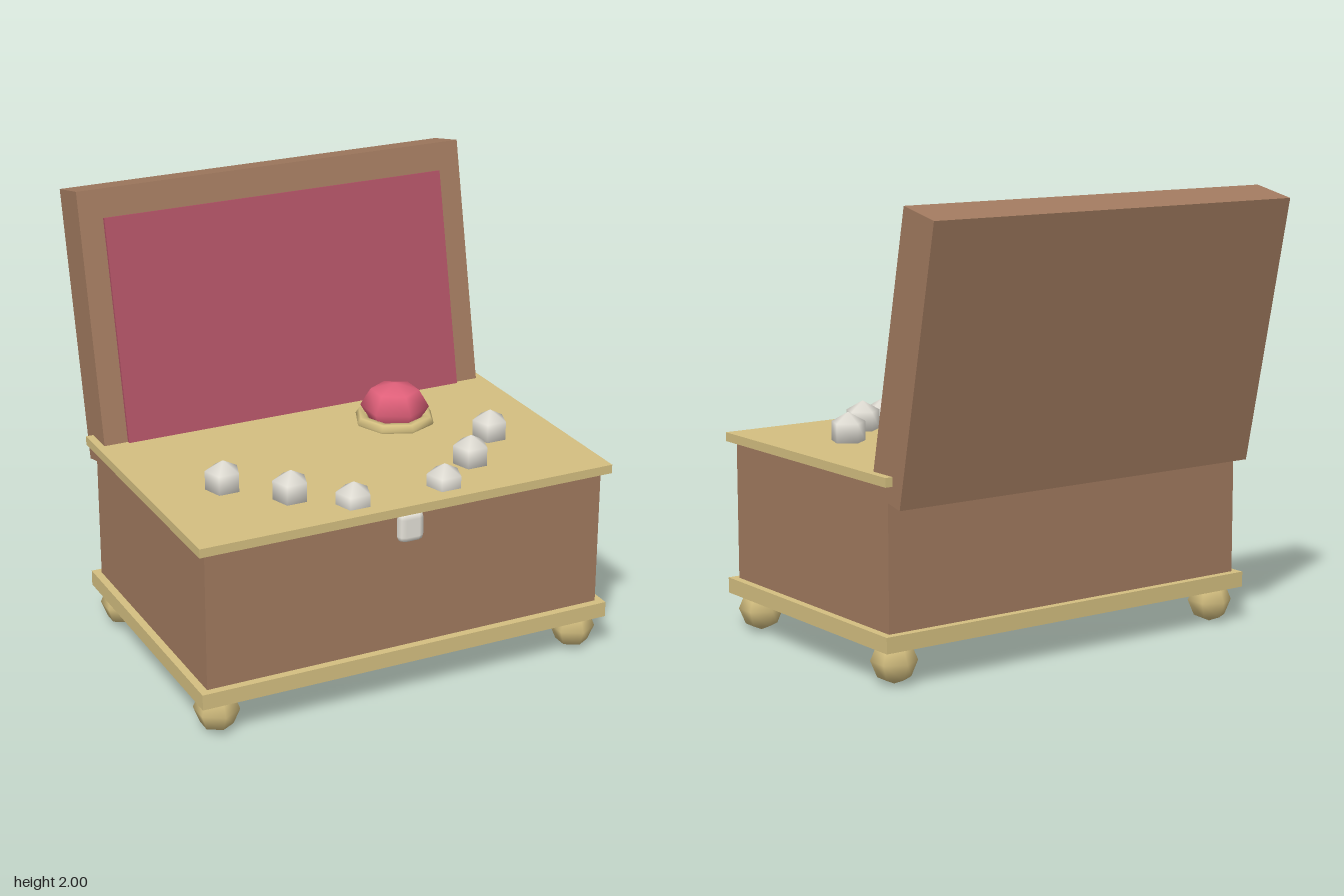
import * as THREE from 'three';
import { RoundedBoxGeometry } from 'three/addons/geometries/RoundedBoxGeometry.js';

const paint = (color) => new THREE.MeshStandardMaterial({ color });

export function createModel() {
  const chest = new THREE.Group();
  chest.name = 'jewelBox';
  const wood = paint(0xa17a5f), gold = paint(0xd4bf80), velvet = paint(0xb05265);
  const ruby = paint(0xe0607a), pearlWhite = paint(0xe4e1d8);

  const add = (name, geometry, material, x, y, z, parent = chest) => {
    const mesh = new THREE.Mesh(geometry, material);
    mesh.name = name;
    mesh.position.set(x, y, z);
    parent.add(mesh);
    return mesh;
  };
  const box = (w, h, d) => new THREE.BoxGeometry(w, h, d);
  // Coarse ball with one corner pointing to the back
  const ball = (r, sides, rings) => new THREE.SphereGeometry(r, sides, rings).rotateY(-Math.PI / 2);

  // Case with base and top plates
  const midZ = 0.155;
  add('body', box(1.87, 0.68, 1.22), wood, 0, 0.53, midZ);
  add('basePlate', box(1.94, 0.07, 1.29), gold, 0, 0.2, midZ);
  add('topPlate', box(1.94, 0.04, 1.29), gold, 0, 0.88, midZ);

  // Ball feet
  const footGeometry = ball(0.1, 6, 4);
  for (const x of [-0.865, 0.865])
    for (const z of [-0.385, 0.695]) add('foot', footGeometry, gold, x, 0.1, z);

  // Front clasp
  add('clasp', new RoundedBoxGeometry(0.12, 0.14, 0.08, 1, 0.03), pearlWhite, 0, 0.795, 0.76);

  // Open lid leaning back, with a padded lining
  const lid = new THREE.Group();
  lid.name = 'lid';
  lid.position.set(0, 1.385, -0.5625);
  lid.rotation.x = -0.211;
  chest.add(lid);
  add('lidPanel', box(1.87, 1.217, 0.214), wood, 0, 0, 0, lid);
  add('lidLining', box(1.65, 1.03, 0.04), velvet, 0, -0.035, 0.102, lid);

  // Gem in a ring setting
  add('gemSetting', new THREE.TorusGeometry(0.155, 0.03, 6, 8).rotateX(Math.PI / 2), gold, 0.355, 0.91, -0.065);
  add('gem', ball(0.155, 6, 4).scale(1, 0.71, 1), ruby, 0.355, 0.97, -0.065);

  // Pearls in a mirrored arc
  const pearlGeometry = ball(0.09, 5, 3);
  for (const side of [-1, 1])
    for (const [x, y, z] of [[0.645, 0.94, 0.295], [0.43, 0.94, 0.51], [0.215, 0.91, 0.67]])
      add('pearl', pearlGeometry, pearlWhite, side * x, y, z);

  return chest;
}
